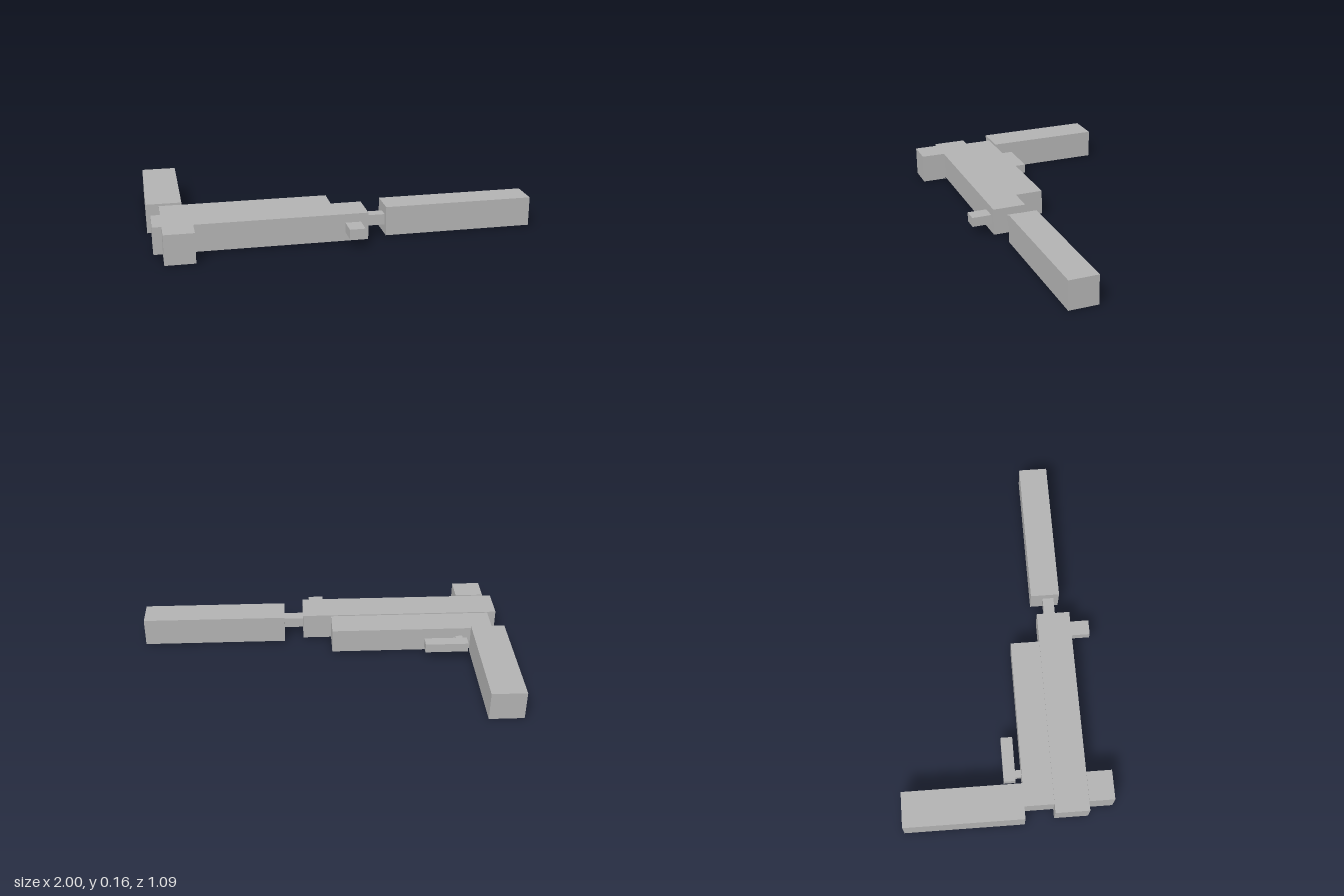
import * as THREE from 'three';

export function createModel() {
  const group = new THREE.Group();
  const grey = new THREE.MeshStandardMaterial({ color: 0xb2b2b2 });
  grey.name = 'grey';

  // Adds a box spanning the given x, y and z ranges
  function block(name, [x0, x1], [y0, y1], [z0, z1]) {
    const mesh = new THREE.Mesh(new THREE.BoxGeometry(x1 - x0, y1 - y0, z1 - z0), grey);
    mesh.name = name;
    mesh.position.set((x0 + x1) / 2, (y0 + y1) / 2, (z0 + z1) / 2);
    group.add(mesh);
  }

  // Main body: two stepped bars lying side by side
  block('upperBody', [-0.98, 0.11], [0.008, 0.152], [0.235, 0.413]);
  block('lowerBody', [-0.933, -0.047], [0.012, 0.146], [0.08, 0.235]);

  // Handle reaching to the back
  block('handle', [-1, -0.815], [0, 0.158], [-0.546, 0.08]);

  // Long end piece and its narrow neck
  block('neck', [0.11, 0.215], [0.053, 0.11], [0.278, 0.338]);
  block('barrel', [0.215, 1], [0.003, 0.158], [0.212, 0.367]);

  // Sights on the front side
  block('rearSight', [-0.933, -0.779], [0, 0.158], [0.413, 0.546]);
  block('frontSight', [-0.01, 0.071], [0.055, 0.106], [0.413, 0.517]);

  // Guard bar and its short stem behind the body
  block('guardStem', [-0.77, -0.732], [0.063, 0.097], [0.048, 0.08]);
  block('guardBar', [-0.79, -0.555], [0.055, 0.106], [-0.014, 0.048]);

  return group;
}
